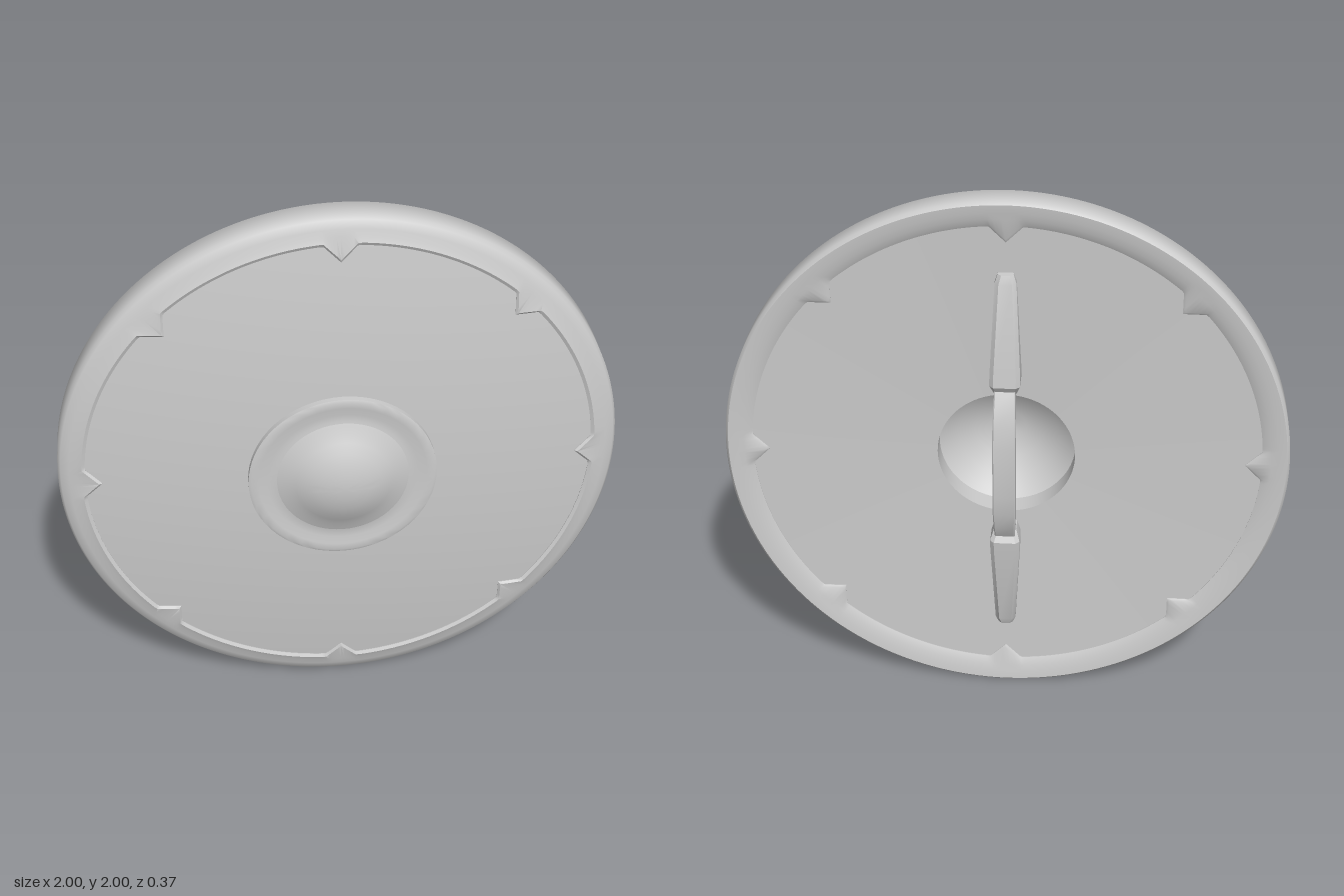
import * as THREE from 'three';
import { toCreasedNormals } from 'three/addons/utils/BufferGeometryUtils.js';

const grey = new THREE.MeshStandardMaterial({ color: 0xcccccc });
const greyOpen = new THREE.MeshStandardMaterial({ color: 0xcccccc, side: THREE.DoubleSide });

// Heights of the domed front and the slightly hollow back of the board at radius r
const boardFront = r => 0.1 - 0.077 * r * r;
const boardBack = r => -0.048 - 0.028 * (r - 0.25);

// Lofts rings of points into a closed ring or a capped bar
function loft(rings, closed) {
  const n = rings[0].length, m = rings.length, index = [];
  for (let i = 0; i < (closed ? m : m - 1); i++) {
    for (let j = 0; j < n; j++) {
      const a = i * n + j, b = i * n + (j + 1) % n;
      const c = ((i + 1) % m) * n + j, d = ((i + 1) % m) * n + (j + 1) % n;
      index.push(a, b, d, a, d, c);
    }
  }
  if (!closed) {
    const last = (m - 1) * n;
    for (let j = 1; j < n - 1; j++) {
      index.push(0, j + 1, j);
      index.push(last, last + j, last + j + 1);
    }
  }
  const geo = new THREE.BufferGeometry();
  geo.setAttribute('position', new THREE.Float32BufferAttribute(rings.flat(2), 3));
  geo.setIndex(index);
  geo.computeVertexNormals();
  return geo;
}

// Lathe turned so that its axis points forward; points are [radius, z]
function turned(points, segments) {
  const geo = new THREE.LatheGeometry(points.map(p => new THREE.Vector2(...p)), segments);
  return geo.rotateX(Math.PI / 2);
}

// Inner radius of the rim, with eight right-angled points facing inwards
function rimInner(angle) {
  const step = Math.PI / 4;
  const phi = Math.abs(angle - Math.round(angle / step) * step);
  return Math.min(0.905, 0.845 / (Math.cos(phi) - Math.sin(phi)));
}

function rimGeometry() {
  const rings = [], count = 400;
  for (let i = 0; i < count; i++) {
    const a = -(i / count) * Math.PI * 2, ri = rimInner(a);
    const front = boardFront(ri) + 0.006, back = boardBack(ri) - 0.006;
    const section = [
      [1, -0.08], [1, 0.008], [0.99, 0.02], [0.96, 0.031], [0.935, 0.038],
      [ri + 0.012, front + 0.003], [ri, front - 0.003], [ri + 0.004, front - 0.03],
      [ri + 0.004, back + 0.03], [ri, back + 0.003], [ri + 0.012, back - 0.003],
      [0.935, -0.081], [0.96, -0.087], [0.99, -0.09],
    ];
    rings.push(section.map(([r, z]) => [r * Math.cos(a), r * Math.sin(a), z]));
  }
  return toCreasedNormals(loft(rings, true), 0.8);
}

// Bar along y; each station is [y, back z, front z, half width], back edges chamfered
function barGeometry(stations, chamfer) {
  const rings = stations.map(([y, zb, zf, w]) => {
    const c = Math.min(chamfer, (zf - zb) / 3);
    return [[-w, y, zf], [w, y, zf], [w, y, zb + c], [w - c, y, zb], [c - w, y, zb], [-w, y, zb + c]];
  });
  return toCreasedNormals(loft(rings, false), 0.45);
}

export function createModel() {
  const model = new THREE.Group();
  const body = new THREE.Group();
  body.name = 'shield';
  body.position.y = 1;
  model.add(body);
  const add = (name, geo, material = grey) => {
    const mesh = new THREE.Mesh(geo, material);
    mesh.name = name;
    body.add(mesh);
    return mesh;
  };

  // Domed board with a hole behind the boss
  const board = [];
  for (let i = 0; i <= 16; i++) {
    const r = 0.93 - (i / 16) * 0.685;
    board.push([r, boardFront(r)]);
  }
  board.push([0.245, boardBack(0.245)], [0.93, boardBack(0.93)]);
  add('board', toCreasedNormals(turned(board, 96), 0.6), greyOpen);

  // Rim with eight points
  add('rim', rimGeometry());

  // Boss: raised flange around a bell-shaped bulge, hollow at the back
  const flange = [
    [0.25, 0.085], [0.335, 0.085], [0.335, 0.112], [0.325, 0.116], [0.3, 0.114],
    [0.27, 0.109], [0.245, 0.109], [0.225, 0.113],
  ];
  add('bossFlange', toCreasedNormals(turned(flange, 64), 0.7), greyOpen);
  const bulge = [
    [0.247, 0.03], [0.247, 0.106], [0.225, 0.115], [0.2, 0.124], [0.17, 0.139], [0.135, 0.157],
    [0.095, 0.171], [0.055, 0.18], [0.025, 0.183], [0, 0.184],
  ];
  add('bossBulge', toCreasedNormals(turned(bulge, 64), 0.7), greyOpen);
  const hollow = [[0, 0.15], [0.06, 0.144], [0.12, 0.122], [0.18, 0.086], [0.22, 0.054], [0.247, 0.03]];
  add('bossHollow', turned(hollow, 64), greyOpen);

  // Curved hand grip
  const half = [
    [0.31, -0.125, -0.065, 0.036], [0.25, -0.157, -0.103, 0.038], [0.18, -0.174, -0.122, 0.04],
    [0.1, -0.185, -0.13, 0.04],
  ];
  const lower = half.map(([y, ...rest]) => [-y, ...rest]);
  add('grip', barGeometry([...lower, ...half.slice().reverse()], 0.004));

  // Tapered arms fixing the grip to the board
  const arm = [
    [0.285, -0.118, 0.04], [0.325, -0.142, 0.053], [0.36, -0.138, 0.053],
    [0.7, -0.098, 0.037], [0.73, -0.086, 0.027],
  ].map(([y, zb, w]) => [y, zb, boardBack(y) + 0.012, w]);
  const armGeo = barGeometry(arm, 0.014);
  add('upperArm', armGeo);
  add('lowerArm', armGeo).rotation.z = Math.PI;

  return model;
}
